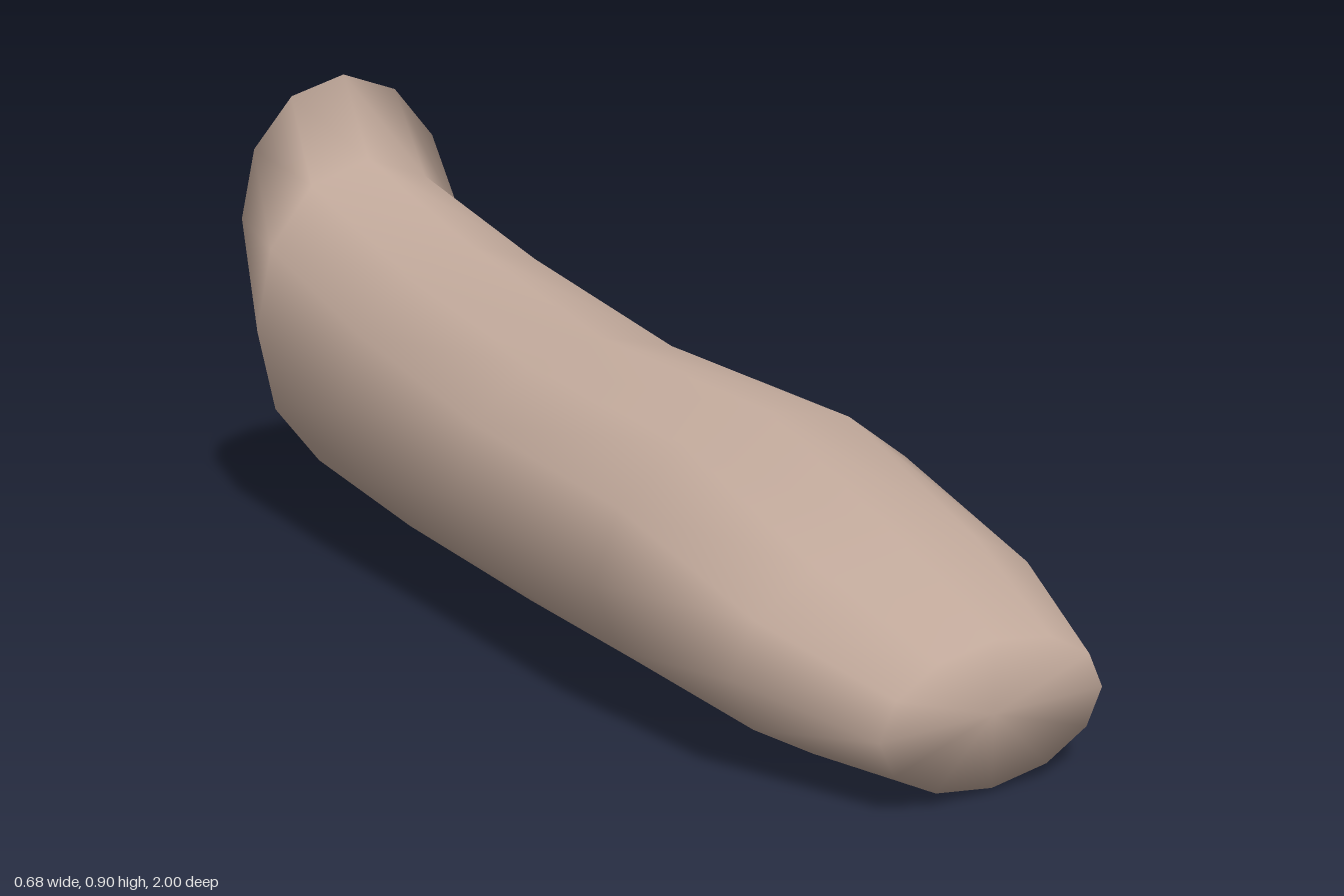
import * as THREE from 'three';

const SIDES = 12;

// Elliptical cross-sections from front to back: z, half width, bottom y, top y
const SECTIONS = [
  [1.0, 0.22, 0.008, 0.24],
  [0.77, 0.315, 0.0, 0.342],
  [0.44, 0.34, 0.005, 0.475],
  [-0.05, 0.305, 0.02, 0.514],
  [-0.5, 0.287, 0.045, 0.615],
  [-0.9, 0.26, 0.083, 0.737],
  [-1.0, 0.238, 0.347, 0.9],
];

// Skin the sections into one closed, smooth surface with capped ends
function loft(sections, sides) {
  const positions = [];
  const indices = [];
  for (const [z, halfWidth, bottom, top] of sections) {
    for (let j = 0; j < sides; j++) {
      const angle = (j / sides) * Math.PI * 2;
      positions.push(
        Math.sin(angle) * halfWidth,
        (top + bottom) / 2 + (Math.cos(angle) * (top - bottom)) / 2,
        z
      );
    }
  }
  const last = sections.length - 1;
  const frontCentre = sections.length * sides;
  const backCentre = frontCentre + 1;
  for (const [z, , bottom, top] of [sections[0], sections[last]]) {
    positions.push(0, (top + bottom) / 2, z);
  }
  for (let j = 0; j < sides; j++) {
    const k = (j + 1) % sides;
    for (let i = 0; i < last; i++) {
      const a = i * sides + j;
      const b = i * sides + k;
      indices.push(a, b, a + sides, b, b + sides, a + sides);
    }
    indices.push(frontCentre, k, j);
    indices.push(backCentre, last * sides + j, last * sides + k);
  }
  const geometry = new THREE.BufferGeometry();
  geometry.setAttribute('position', new THREE.Float32BufferAttribute(positions, 3));
  geometry.setIndex(indices);
  geometry.computeVertexNormals();
  return geometry;
}

export function createModel() {
  const group = new THREE.Group();
  group.name = 'model';

  const clay = new THREE.MeshStandardMaterial({ color: 0xbfa799 });
  clay.name = 'warm beige';

  // Rounded body, blunt at the front and flared upward at the back
  const body = new THREE.Mesh(loft(SECTIONS, SIDES), clay);
  body.name = 'body';
  group.add(body);

  return group;
}
